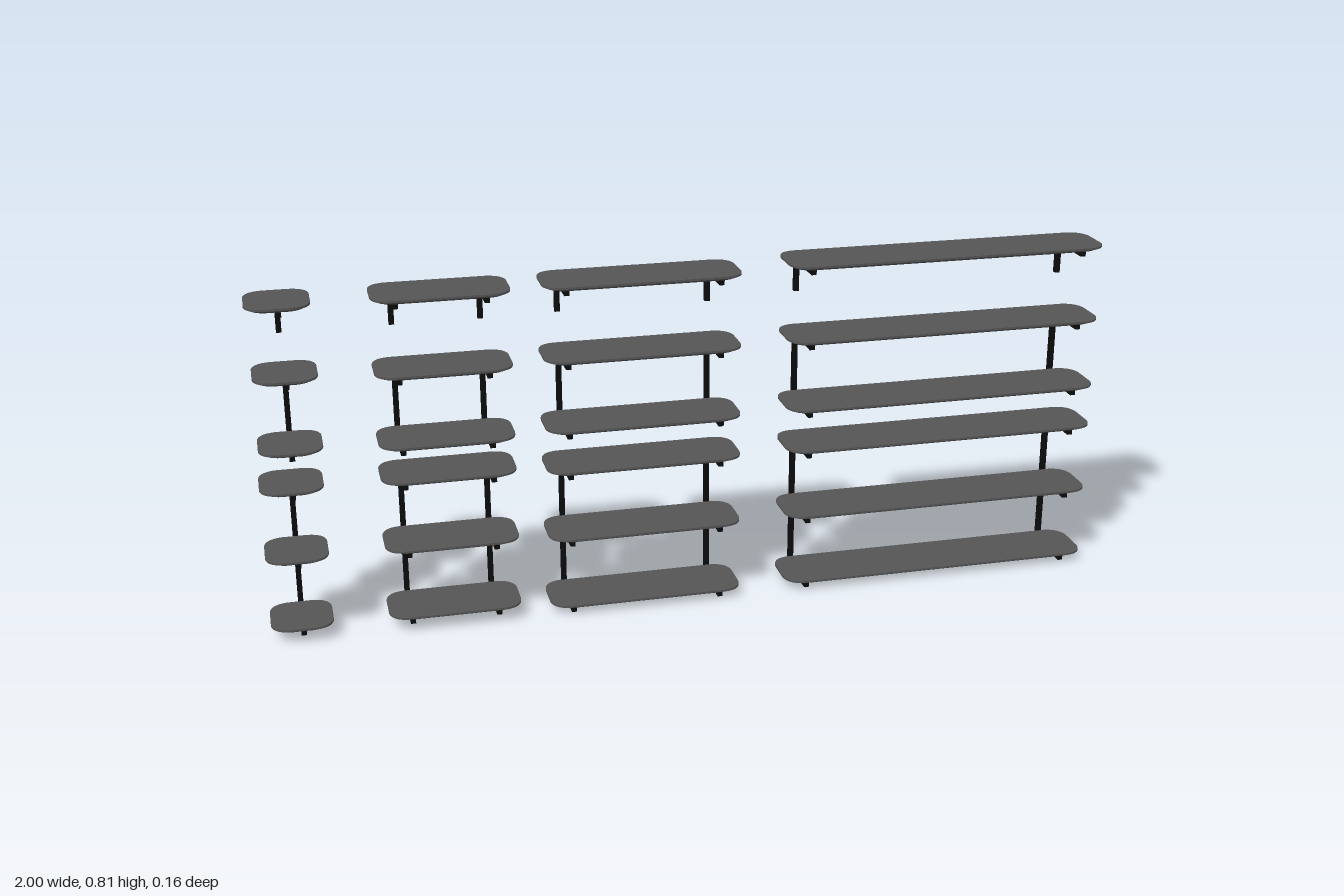
import * as THREE from 'three';
import { toCreasedNormals } from 'three/addons/utils/BufferGeometryUtils.js';

const boardMat = new THREE.MeshStandardMaterial({ color: 0x555555 });
const metalMat = new THREE.MeshStandardMaterial({ color: 0x0c0c0c });

const DEPTH = 0.149, Z = 0.0075, BOARD = 0.0118, BAR = 0.0122;
const BACK = -0.0812, BAR_FRONT = 0.066;

// Rounded board with a thin upright lip and an underside that tapers inward
function boardGeometry(width) {
  const w = width / 2, d = DEPTH / 2, r = 0.042, inset = 0.013;
  const s = new THREE.Shape();
  s.moveTo(-w + r, -d);
  s.lineTo(w - r, -d);
  s.quadraticCurveTo(w - r * 0.1, -d + r * 0.1, w, -d + r);
  s.lineTo(w, d - r);
  s.quadraticCurveTo(w - r * 0.1, d - r * 0.1, w - r, d);
  s.lineTo(-w + r, d);
  s.quadraticCurveTo(-w + r * 0.1, d - r * 0.1, -w, d - r);
  s.lineTo(-w, -d + r);
  s.quadraticCurveTo(-w + r * 0.1, -d + r * 0.1, -w + r, -d);
  const g = new THREE.ExtrudeGeometry(s, { depth: 1, steps: 2, bevelEnabled: false, curveSegments: 10 });
  const p = g.attributes.position;
  for (let i = 0; i < p.count; i++) {
    const level = p.getZ(i);
    const low = level < 0.25;
    const kx = low ? (w - inset) / w : 1, ky = low ? (d - inset) / d : 1;
    const h = low ? 0 : level < 0.75 ? BOARD * 0.6 : BOARD;
    p.setXYZ(i, p.getX(i) * kx, p.getY(i) * ky, h);
  }
  g.rotateX(-Math.PI / 2);
  return toCreasedNormals(g, 0.4);
}

function box(name, w, h, d, x, y, z) {
  const m = new THREE.Mesh(new THREE.BoxGeometry(w, h, d), metalMat);
  m.name = name;
  m.position.set(x, y, z);
  return m;
}

// One wall unit: boards at the given top heights, joined by rear uprights
function shelfUnit(name, x0, x1, posts, tops, drop) {
  const unit = new THREE.Group();
  unit.name = name;
  const geo = boardGeometry(x1 - x0);
  for (const top of tops) {
    const board = new THREE.Mesh(geo, boardMat);
    board.name = 'shelfBoard';
    board.position.set((x0 + x1) / 2, top - BOARD, Z);
    unit.add(board);
    // Support arms under the board
    for (const x of posts) {
      unit.add(box('supportArm', BAR, BAR, BAR_FRONT - BACK, x, top - BOARD - BAR / 2, (BAR_FRONT + BACK) / 2));
    }
  }
  // Uprights behind the boards
  const yTop = tops[0] - BOARD;
  const yBottom = tops[tops.length - 1] - BOARD - drop;
  for (const x of posts) {
    unit.add(box('upright', BAR, yTop - yBottom, BAR, x, (yTop + yBottom) / 2, BACK + BAR / 2));
  }
  return unit;
}

export function createModel() {
  const model = new THREE.Group();
  model.name = 'wallShelves';
  // Board ends, upright positions and board heights for each width
  const columns = [
    { name: 'square', x: [-1, -0.857], posts: [-0.927], shift: 0.005,
      top: 0.802, mid: [0.635, 0.467], low: [0.374, 0.206, 0.038] },
    { name: 'short', x: [-0.73, -0.42], posts: [-0.677, -0.475], shift: 0,
      top: 0.802, mid: [0.626, 0.458], low: [0.374, 0.206, 0.038] },
    { name: 'medium', x: [-0.35, 0.112], posts: [-0.297, 0.06], shift: 0,
      top: 0.805, mid: [0.631, 0.463], low: [0.362, 0.194, 0.024] },
    { name: 'long', x: [0.225, 1], posts: [0.278, 0.945], shift: 0,
      top: 0.814, mid: [0.633, 0.465], low: [0.362, 0.194, 0.024] },
  ];
  for (const c of columns) {
    const single = shelfUnit(c.name + 'SingleShelf', ...c.x, c.posts, [c.top], 0.089);
    const double = shelfUnit(c.name + 'DoubleShelf', ...c.x, c.posts, c.mid, BAR);
    const triple = shelfUnit(c.name + 'TripleShelf', ...c.x, c.posts, c.low, BAR);
    double.position.x = c.shift;
    model.add(single, double, triple);
  }
  return model;
}
